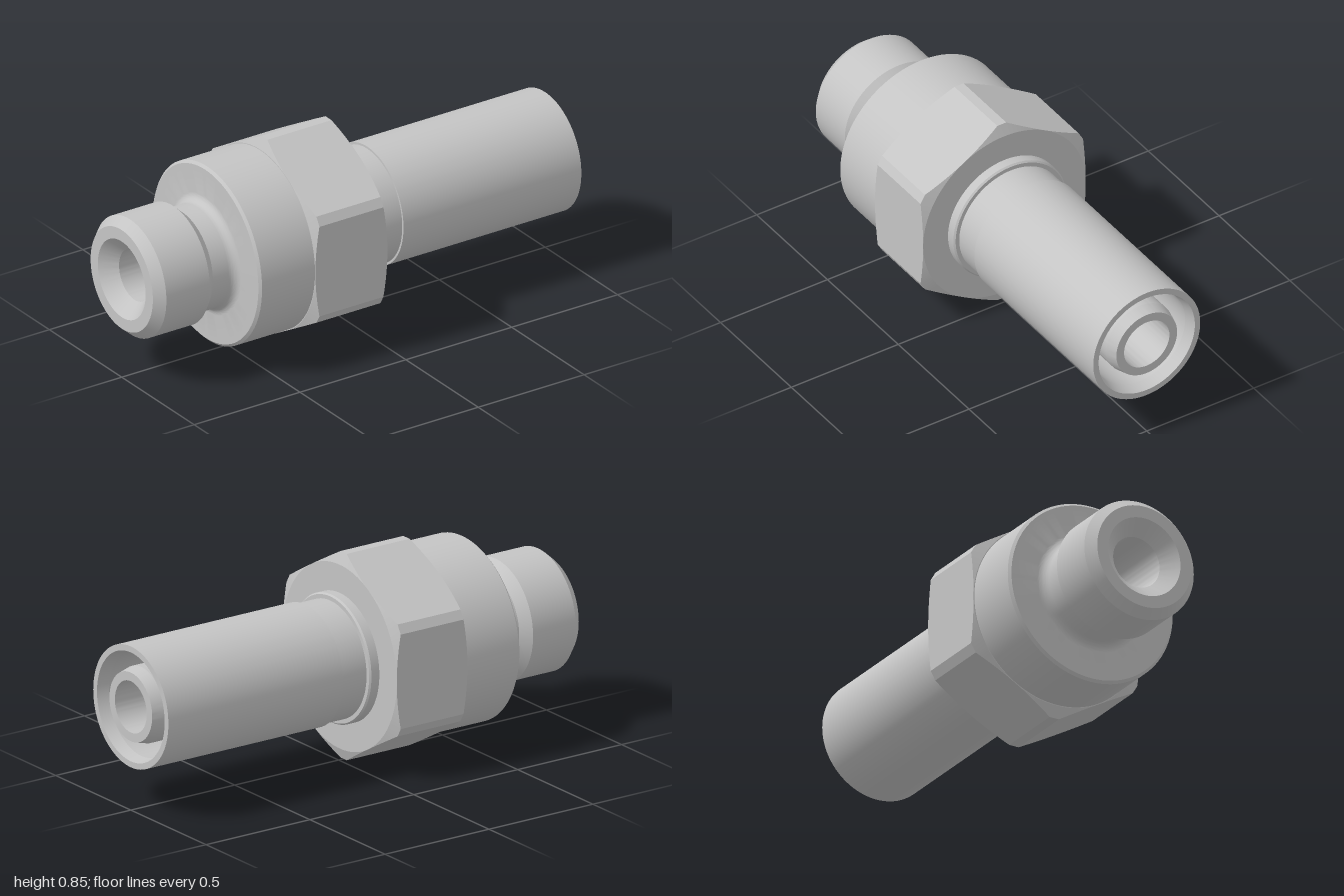
import * as THREE from 'three';
import { toCreasedNormals } from 'three/addons/utils/BufferGeometryUtils.js';

const AXIS_Y = 0.427;
const CREASE = 0.2;

// Turned part: profile of [x, radius] points, running toward +x on outer faces
function turned(name, profile, material) {
  const points = profile.map(([x, r]) => new THREE.Vector2(r, x));
  const geometry = new THREE.LatheGeometry(points, 96).rotateZ(-Math.PI / 2);
  const mesh = new THREE.Mesh(toCreasedNormals(geometry, CREASE), material);
  mesh.name = name;
  return mesh;
}

// Hexagon with clipped corners and conical chamfers at both ends
function hexGeometry(x0, x1, flat, corner, slope) {
  const edge = THREE.MathUtils.degToRad(27.2);
  const steps = 24;
  const positions = [];
  const index = [];
  for (let side = 0; side < 6; side++) {
    for (let s = 0; s <= steps; s++) {
      const a = -edge + (2 * edge * s) / steps;
      const r = Math.min(flat / Math.cos(a), corner / Math.cos(Math.PI / 6 - Math.abs(a)));
      const t = a + (side * Math.PI) / 3;
      const d = (r - flat) * slope;
      const section = [[x0, 0.1], [x0, flat], [x0 + d, r], [x1 - d, r], [x1, flat], [x1, 0.1]];
      for (const [x, q] of section) positions.push(x, q * Math.sin(t), q * Math.cos(t));
    }
  }
  const count = positions.length / 18;
  for (let i = 0; i < count; i++) {
    const n = (i + 1) % count;
    for (let j = 0; j < 5; j++) {
      const a = i * 6 + j, b = n * 6 + j;
      index.push(a, a + 1, b + 1, a, b + 1, b);
    }
  }
  const geometry = new THREE.BufferGeometry();
  geometry.setAttribute('position', new THREE.Float32BufferAttribute(positions, 3));
  geometry.setIndex(index);
  return toCreasedNormals(geometry, CREASE);
}

export function createModel() {
  const steel = new THREE.MeshStandardMaterial({ color: 0xc4c4c4 });
  steel.name = 'steel';
  const group = new THREE.Group();
  group.name = 'hoseFitting';

  // Concave fillet between the neck and the shoulder
  const fillet = [];
  for (let i = 0; i <= 12; i++) {
    const a = (i / 12) * (Math.PI / 2);
    fillet.push([-0.642 + 0.037 * Math.sin(a), 0.25 - 0.037 * Math.cos(a)]);
  }

  // Connector end, from its countersunk mouth to the round shoulder
  group.add(turned('connectorBody', [
    [-0.94, 0.106], [-1, 0.165], [-1, 0.215], [-0.96, 0.25], [-0.755, 0.25], [-0.715, 0.213],
    ...fillet, [-0.605, 0.366], [-0.595, 0.377], [-0.3, 0.377],
  ], steel));

  const nut = new THREE.Mesh(hexGeometry(-0.345, -0.005, 0.38, 0.427, 0.4), steel);
  nut.name = 'hexNut';
  group.add(nut);

  group.add(turned('collar', [
    [-0.02, 0.264], [0.033, 0.264], [0.04, 0.258], [0.04, 0.2],
  ], steel));

  // Crimp sleeve, open at its far end
  group.add(turned('sleeve', [
    [0.03, 0.241], [0.16, 0.241], [0.16, 0.25], [1, 0.25], [1, 0.225], [0.95, 0.213],
    [0.2, 0.213], [0.2, 0.14],
  ], steel));

  // Inner tube with a tapered tip
  group.add(turned('innerTube', [
    [0.19, 0.155], [0.95, 0.155], [1, 0.142], [1, 0.106],
  ], steel));

  // Through bore, facing inward
  group.add(turned('bore', [[1, 0.106], [-0.94, 0.106]], steel));

  for (const part of group.children) part.position.y = AXIS_Y;
  return group;
}
